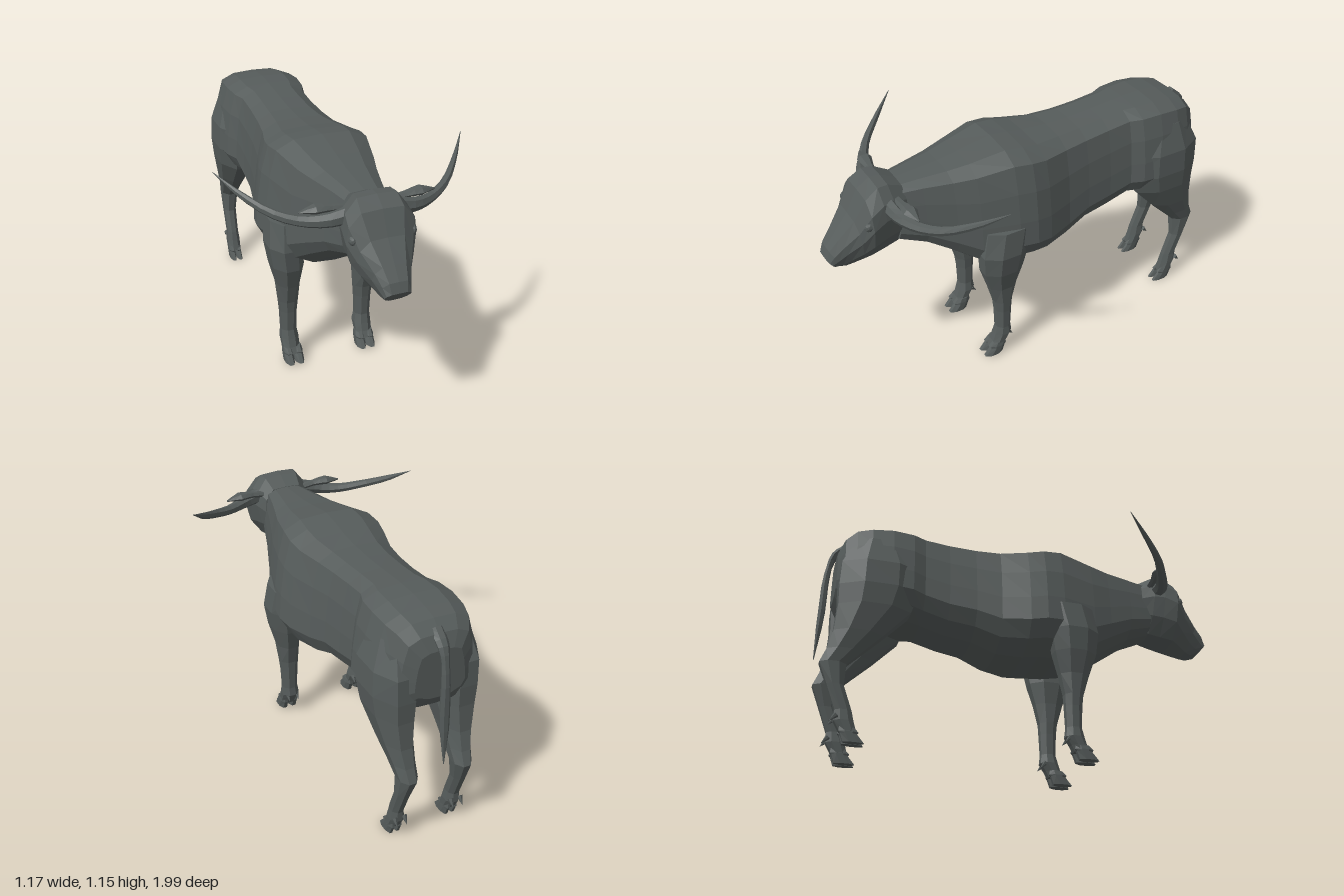
import * as THREE from 'three';

const hide = new THREE.MeshStandardMaterial({ color: 0x565c5b, flatShading: true });
hide.name = 'slate hide';

// Skin a list of closed rings and cap both ends; the volume sign fixes the facing.
function loft(name, rings) {
  const n = rings[0].length;
  const tris = [];
  for (let i = 0; i + 1 < rings.length; i++) {
    for (let j = 0; j < n; j++) {
      const k = (j + 1) % n;
      const a = rings[i][j], b = rings[i][k], c = rings[i + 1][k], d = rings[i + 1][j];
      tris.push([a, b, c], [a, c, d]);
    }
  }
  const centre = r => r.reduce((s, p) => s.add(p), new THREE.Vector3()).divideScalar(n);
  const first = rings[0], last = rings[rings.length - 1];
  const c0 = centre(first), c1 = centre(last);
  for (let j = 0; j < n; j++) {
    const k = (j + 1) % n;
    tris.push([c0, first[k], first[j]], [c1, last[j], last[k]]);
  }
  let volume = 0;
  for (const [a, b, c] of tris) {
    volume += a.clone().sub(c0).dot(b.clone().sub(c0).cross(c.clone().sub(c0)));
  }
  const pos = [];
  for (const [a, b, c] of tris) {
    for (const p of volume > 0 ? [a, b, c] : [a, c, b]) pos.push(p.x, p.y, p.z);
  }
  const geo = new THREE.BufferGeometry();
  geo.setAttribute('position', new THREE.Float32BufferAttribute(pos, 3));
  geo.computeVertexNormals();
  const mesh = new THREE.Mesh(geo, hide);
  mesh.name = name;
  return mesh;
}

// Symmetric ring from a top point to a bottom point; profile is [width share, depth share].
function spineRing([yt, zt, yb, zb, w], profile) {
  const at = (x, t) => new THREE.Vector3(x * w, yt + (yb - yt) * t, zt + (zb - zt) * t);
  const right = profile.map(([x, t]) => at(x, t));
  const left = profile.slice(1, -1).reverse().map(([x, t]) => at(-x, t));
  return [...right, ...left];
}

// Eight-sided ring for a limb: height, front z, back z, inner x, outer x.
function limbRing([y, zf, zb, xi, xo], side, tilt = 0) {
  const ring = [];
  for (let i = 0; i < 8; i++) {
    const a = (i + 0.5) * Math.PI / 4;
    const cx = Math.cos(a) / 0.924, cz = Math.sin(a) / 0.924;
    ring.push(new THREE.Vector3(side * ((xi + xo) / 2 + cx * (xo - xi) / 2),
      y + cz * tilt, (zf + zb) / 2 + cz * (zf - zb) / 2));
  }
  return ring;
}

// Tapered tube along a curve; radii are [across, along up] at evenly spaced stations.
function taper(name, points, radii, up, steps = 10, sides = 7) {
  const curve = new THREE.CatmullRomCurve3(points.map(p => new THREE.Vector3(...p)));
  const rings = [];
  for (let i = 0; i <= steps; i++) {
    const t = i / steps, f = t * (radii.length - 1);
    const k = Math.min(Math.floor(f), radii.length - 2);
    const ra = THREE.MathUtils.lerp(radii[k][0], radii[k + 1][0], f - k);
    const rb = THREE.MathUtils.lerp(radii[k][1], radii[k + 1][1], f - k);
    const p = curve.getPoint(t), tan = curve.getTangent(t);
    const across = new THREE.Vector3().crossVectors(tan, up).normalize();
    const lift = new THREE.Vector3().crossVectors(across, tan);
    rings.push(Array.from({ length: sides }, (_, j) => {
      const a = j / sides * Math.PI * 2;
      return p.clone().addScaledVector(across, Math.cos(a) * ra).addScaledVector(lift, Math.sin(a) * rb);
    }));
  }
  return loft(name, rings);
}

export function createModel() {
  const model = new THREE.Group();
  model.name = 'buffalo';

  // Torso: z, top y, bottom y, half width
  const torsoProfile = [[0, 0], [0.48, 0.012], [0.78, 0.08], [0.9, 0.3], [0.97, 0.55],
    [1, 0.76], [0.84, 0.9], [0.45, 0.985], [0, 1]];
  const torso = [
    [0.67, 1.07, 0.78, 0.115], [0.55, 1.08, 0.73, 0.15], [0.42, 1.09, 0.64, 0.195],
    [0.32, 1.105, 0.565, 0.235], [0.15, 1.135, 0.54, 0.285], [0.06, 1.125, 0.535, 0.295],
    [-0.02, 1.11, 0.525, 0.28], [-0.15, 1.1, 0.535, 0.235], [-0.27, 1.1, 0.585, 0.215],
    [-0.4, 1.108, 0.605, 0.205], [-0.52, 1.118, 0.64, 0.205], [-0.58, 1.122, 0.645, 0.235],
    [-0.68, 1.125, 0.65, 0.245], [-0.78, 1.115, 0.66, 0.238], [-0.85, 1.1, 0.68, 0.215],
    [-0.9, 1.055, 0.71, 0.18], [-0.928, 0.99, 0.76, 0.12]];
  model.add(loft('torso', torso.map(([z, t, b, w]) => spineRing([t, z, b, z, w], torsoProfile))));

  // Head: top y and z, bottom y and z, half width
  const headProfile = [[0, 0], [0.6, 0.015], [0.93, 0.2], [1, 0.42], [0.85, 0.72], [0.5, 0.97], [0, 1]];
  const head = [
    [1.075, 0.63, 0.8, 0.62, 0.12], [1.112, 0.7, 0.775, 0.67, 0.14], [1.115, 0.75, 0.762, 0.73, 0.15],
    [1.075, 0.812, 0.75, 0.8, 0.16], [0.97, 0.867, 0.735, 0.84, 0.128], [0.88, 0.94, 0.717, 0.88, 0.088],
    [0.825, 0.984, 0.71, 0.912, 0.07], [0.78, 1.0, 0.724, 0.955, 0.06]];
  model.add(loft('head', head.map(r => spineRing(r, headProfile))));

  // Tail with a tuft that tapers to a point
  model.add(taper('tail',
    [[0, 1.06, -0.87], [0, 1.01, -0.935], [0, 0.9, -0.965], [0, 0.7, -0.975], [0, 0.45, -0.992]],
    [[0.03, 0.03], [0.022, 0.03], [0.014, 0.018], [0.017, 0.022], [0.017, 0.026], [0.002, 0.002]],
    new THREE.Vector3(1, 0, 0), 12));

  // Limbs: height, front z, back z, inner x, outer x
  const foreleg = [
    [0.78, 0.3, 0.06, 0.14, 0.285], [0.65, 0.325, 0.09, 0.135, 0.298], [0.54, 0.315, 0.11, 0.13, 0.28],
    [0.43, 0.28, 0.14, 0.145, 0.252], [0.33, 0.252, 0.162, 0.15, 0.242], [0.27, 0.246, 0.165, 0.155, 0.236],
    [0.165, 0.243, 0.17, 0.158, 0.232], [0.12, 0.255, 0.165, 0.15, 0.236], [0.08, 0.268, 0.19, 0.152, 0.234],
    [0.05, 0.285, 0.205, 0.15, 0.234]];
  const hindleg = [
    [1.02, -0.62, -0.85, 0.08, 0.205], [0.88, -0.545, -0.915, 0.06, 0.248], [0.76, -0.545, -0.92, 0.045, 0.252],
    [0.66, -0.58, -0.917, 0.055, 0.24], [0.53, -0.7, -0.927, 0.078, 0.212], [0.44, -0.79, -0.95, 0.088, 0.19],
    [0.375, -0.855, -0.977, 0.093, 0.178], [0.27, -0.86, -0.937, 0.11, 0.175], [0.15, -0.817, -0.893, 0.115, 0.174],
    [0.1, -0.805, -0.893, 0.11, 0.178], [0.05, -0.79, -0.865, 0.112, 0.178]];
  const y = new THREE.Vector3(0, 1, 0);

  for (const side of [1, -1]) {
    const label = side > 0 ? 'left' : 'right';
    for (const [limb, rows, zShift, xc, base] of [
      ['Foreleg', foreleg, 0, 0.19, 0.01], ['Hindleg', hindleg, -1.073, 0.145, 0]]) {
      const leg = new THREE.Group();
      leg.name = label + limb;
      leg.add(loft('limb', rows.map(r => limbRing(r, side))));
      // Cloven hoof and dewclaws
      for (const toe of [-1, 1]) {
        const w = limb === 'Foreleg' ? 0.047 : 0.033;
        const xi = toe > 0 ? xc + 0.002 : xc - w;
        const xo = toe > 0 ? xc + w : xc - 0.002;
        loftToe(leg, xi, xo, zShift, base, side);
        const claw = new THREE.Mesh(new THREE.ConeGeometry(0.014, 0.045, 6), hide);
        claw.name = 'dewclaw';
        claw.position.set(side * (xc + toe * 0.024), 0.105, 0.173 + zShift);
        claw.rotation.x = -2.4;
        leg.add(claw);
      }
      model.add(leg);
    }

    // Sweeping horn
    model.add(taper(label + 'Horn',
      [[0.11, 1.02, 0.715], [0.2, 1.003, 0.7], [0.3, 0.998, 0.655], [0.4, 1.022, 0.595],
        [0.5, 1.077, 0.49], [0.585, 1.147, 0.38]].map(([a, b, c]) => [side * a, b, c]),
      [[0.036, 0.04], [0.032, 0.032], [0.025, 0.024], [0.019, 0.021], [0.012, 0.017], [0.001, 0.001]], y, 12));

    // Leaf-shaped ear
    model.add(taper(label + 'Ear',
      [[0.1, 1.035, 0.675], [0.17, 1.045, 0.675], [0.24, 1.05, 0.67], [0.312, 1.042, 0.665]]
        .map(([a, b, c]) => [side * a, b, c]),
      [[0.018, 0.015], [0.02, 0.015], [0.034, 0.02], [0.003, 0.004]], y, 6, 6));

    // Eye bulge
    const eye = new THREE.Mesh(new THREE.IcosahedronGeometry(0.024, 1), hide);
    eye.name = label + 'Eye';
    eye.position.set(side * 0.136, 0.958, 0.818);
    eye.scale.x = 0.7;
    model.add(eye);
  }
  return model;
}

// One half of a hoof, flared forward toward the ground
function loftToe(leg, xi, xo, dz, base, side) {
  const rows = [[base + 0.07, 0.27, 0.205], [base + 0.048, 0.292, 0.203],
    [base + 0.04, 0.285, 0.21], [base, 0.318, 0.224]];
  leg.add(loft('toe', rows.map(([h, f, b], i) =>
    limbRing([h, f + dz, b + dz, xi + (i ? 0 : 0.004), xo - (i ? 0 : 0.004)], side))));
}
